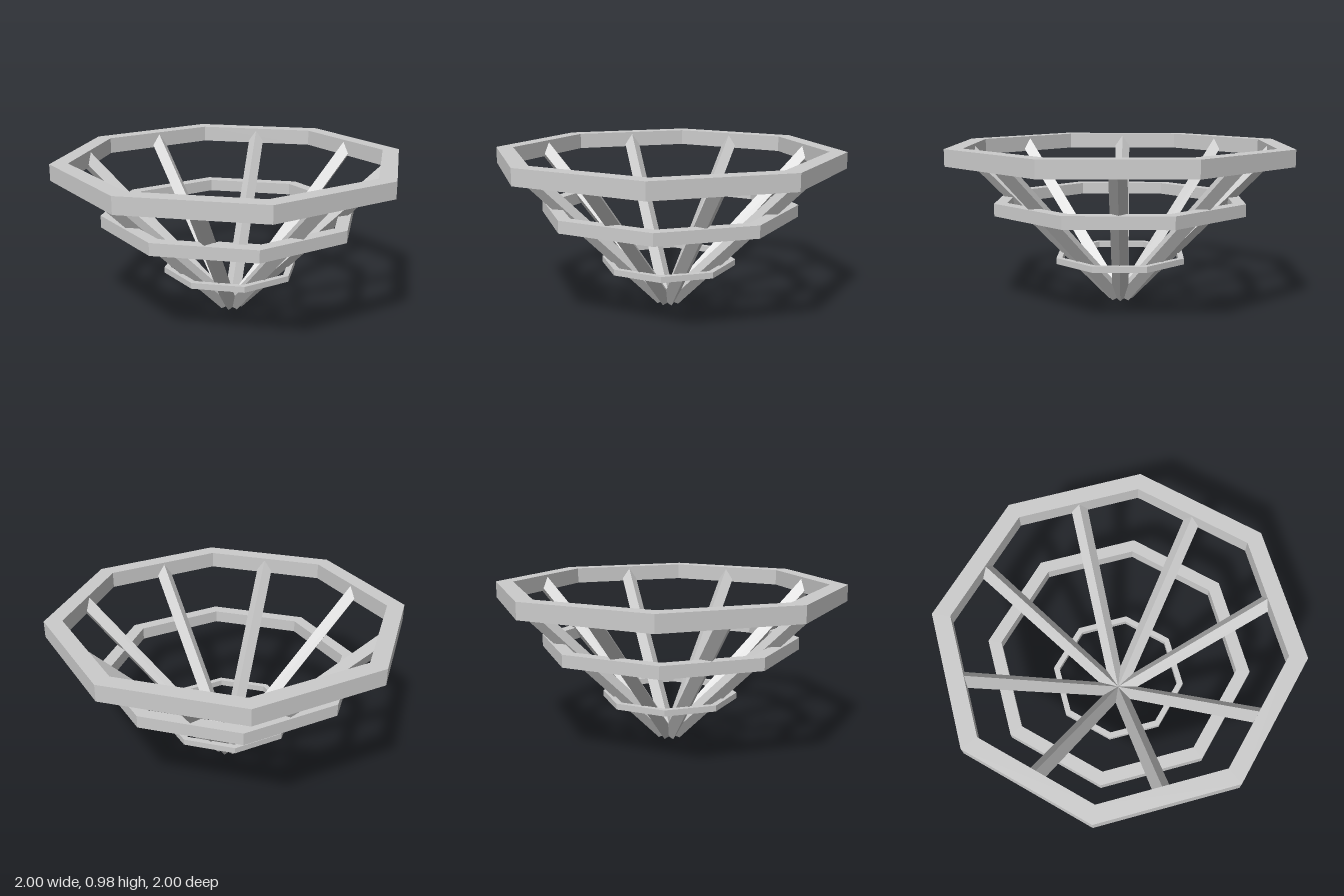
import * as THREE from 'three';

const material = new THREE.MeshStandardMaterial({ color: 0xcccccc, flatShading: true });

// Corners of an octagon with flat sides facing the axes, given its apothem
function octagon(apothem) {
  const r = apothem / Math.cos(Math.PI / 8);
  return Array.from({ length: 8 }, (_, i) => {
    const a = (i + 0.5) * Math.PI / 4;
    return new THREE.Vector2(r * Math.cos(a), r * Math.sin(a));
  });
}

// Flat octagonal frame lying between two heights
function makeRing(name, outer, inner, bottom, top) {
  const shape = new THREE.Shape(octagon(outer));
  shape.holes.push(new THREE.Path(octagon(inner).reverse()));
  const geometry = new THREE.ExtrudeGeometry(shape, { depth: top - bottom, bevelEnabled: false });
  geometry.rotateX(-Math.PI / 2).translate(0, bottom, 0);
  const ring = new THREE.Mesh(geometry, material);
  ring.name = name;
  return ring;
}

// Diamond-section bar leaning outward at 45 degrees
function makeStrut(index) {
  const start = 0.0354 * Math.SQRT2, end = 0.935 * Math.SQRT2;
  const geometry = new THREE.CylinderGeometry(0.05, 0.05, end - start, 4);
  geometry.translate(0, (start + end) / 2, 0);
  geometry.rotateZ(-Math.PI / 4);
  geometry.rotateY(index * Math.PI / 4);
  const strut = new THREE.Mesh(geometry, material);
  strut.name = 'strut' + (index + 1);
  return strut;
}

export function createModel() {
  const model = new THREE.Group();
  model.name = 'octagonalFrame';

  // Three stacked rings
  model.add(makeRing('topRing', 1, 0.9, 0.885, 0.985));
  model.add(makeRing('middleRing', 0.74, 0.665, 0.58, 0.655));
  model.add(makeRing('lowerRing', 0.39, 0.355, 0.26, 0.297));

  // Eight struts fanning out from the base
  const struts = new THREE.Group();
  struts.name = 'struts';
  for (let i = 0; i < 8; i++) struts.add(makeStrut(i));
  model.add(struts);

  return model;
}
